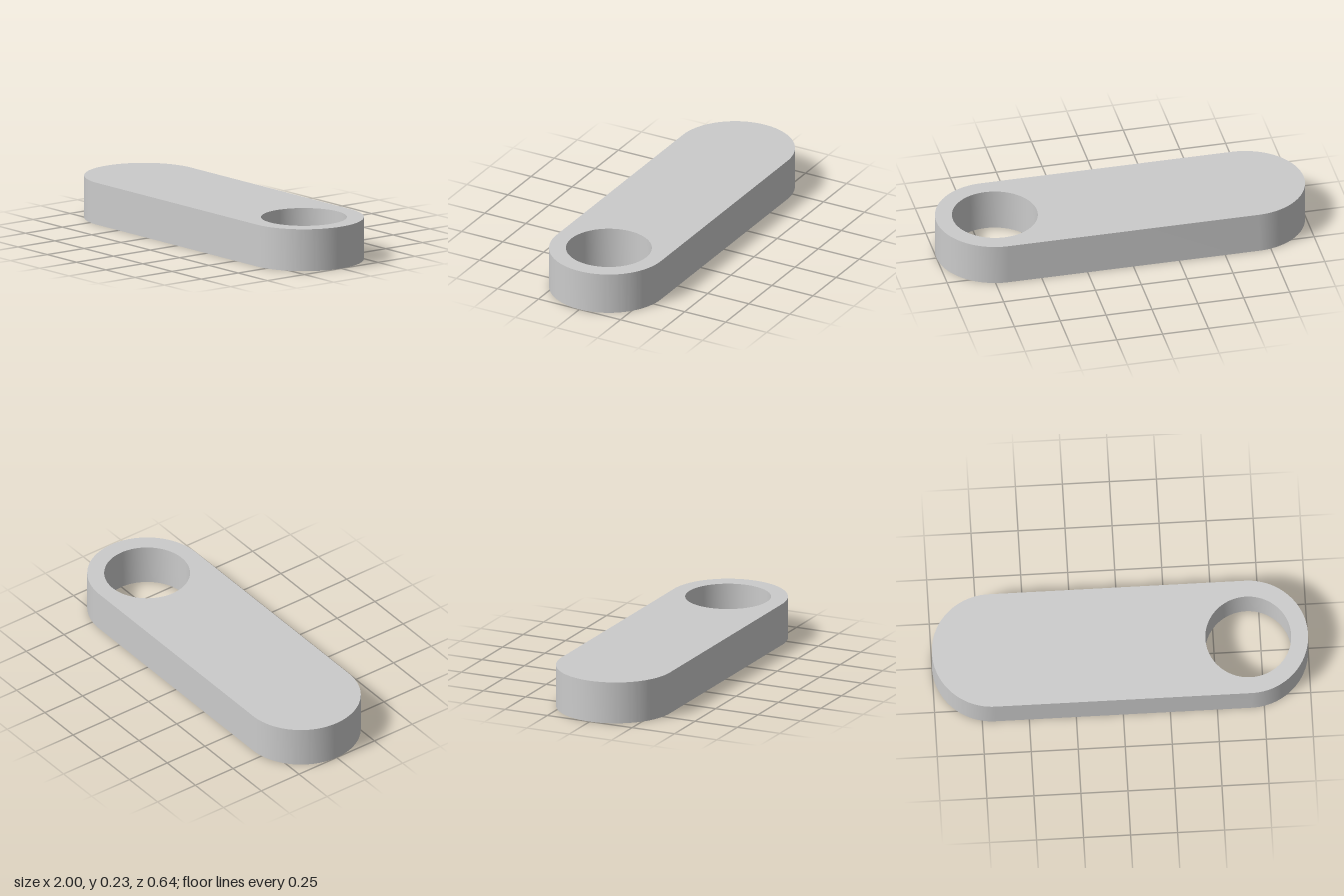
import * as THREE from 'three';
import { toCreasedNormals } from 'three/addons/utils/BufferGeometryUtils.js';

const END_RADIUS = 0.318;
const END_X = 1 - END_RADIUS; // centre of each rounded end
const HOLE_RADIUS = 0.228;
const THICKNESS = 0.227;

export function createModel() {
  const group = new THREE.Group();
  group.name = 'linkArm';

  // Stadium outline: two half circles joined by straight sides
  const outline = new THREE.Shape();
  outline.absarc(END_X, 0, END_RADIUS, -Math.PI / 2, Math.PI / 2, false);
  outline.absarc(-END_X, 0, END_RADIUS, Math.PI / 2, Math.PI * 1.5, false);
  outline.closePath();

  // Through hole, concentric with the left (+x) end
  const hole = new THREE.Path();
  hole.absarc(END_X, 0, HOLE_RADIUS, 0, Math.PI * 2, true);
  outline.holes.push(hole);

  // Extrude, then lay flat so the thickness runs up from y = 0
  const geometry = new THREE.ExtrudeGeometry(outline, {
    depth: THICKNESS,
    bevelEnabled: false,
    curveSegments: 48,
  });
  geometry.rotateX(-Math.PI / 2);

  const plate = new THREE.Mesh(
    toCreasedNormals(geometry, 0.5),
    new THREE.MeshStandardMaterial({ color: 0xcccccc })
  );
  plate.name = 'plateWithHole';
  group.add(plate);

  return group;
}
